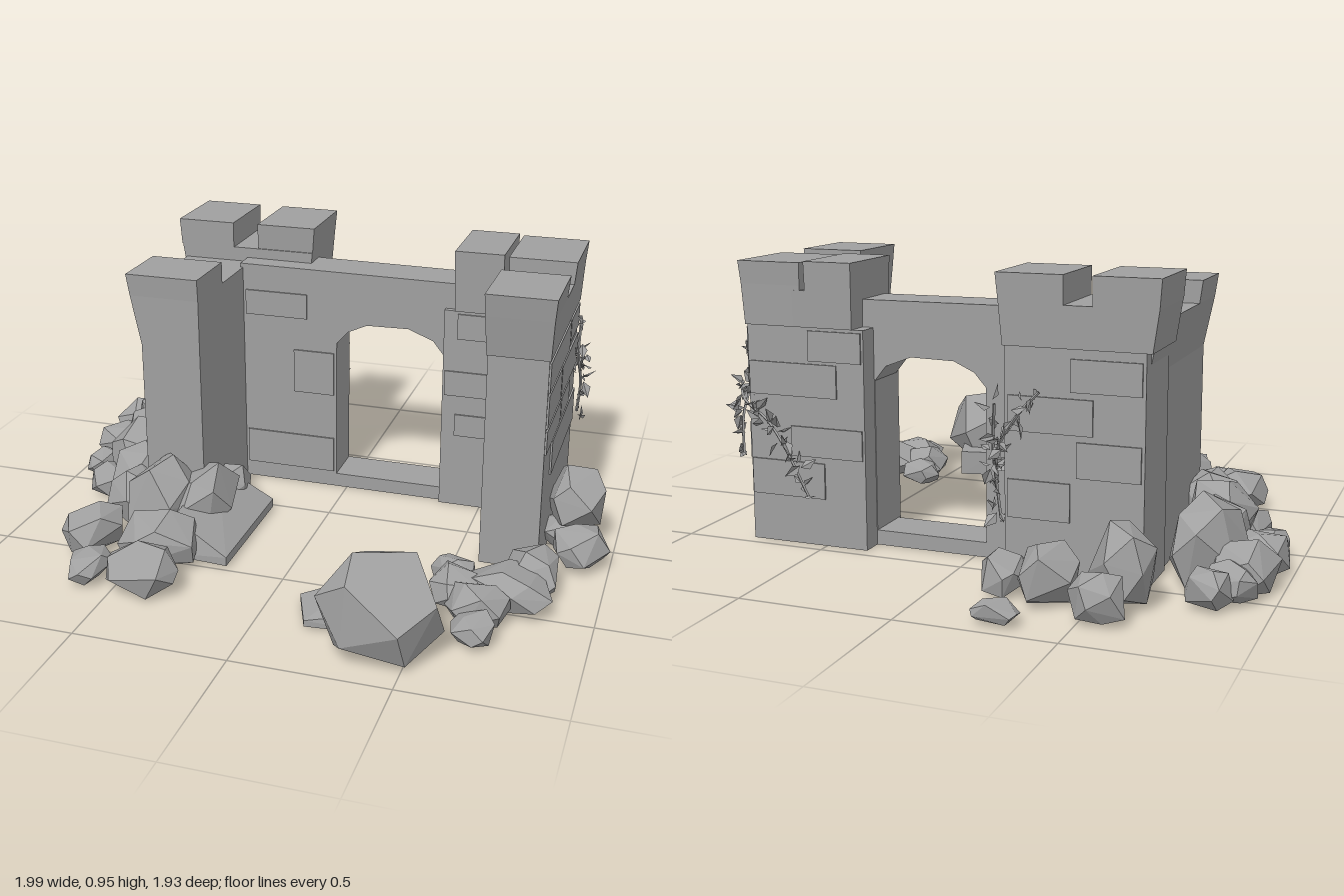
import * as THREE from 'three';
import { ConvexGeometry } from 'three/addons/geometries/ConvexGeometry.js';

export function createModel() {
  const root = new THREE.Group();
  root.name = 'ruinedGatehouse';
  const stone = new THREE.MeshStandardMaterial({ color: 0xa0a0a0, flatShading: true, side: THREE.DoubleSide });
  stone.name = 'grey stone';

  let seed = 17;
  const rnd = () => (seed = (seed * 16807) % 2147483647) / 2147483647;

  function group(name) {
    const g = new THREE.Group();
    g.name = name;
    root.add(g);
    return g;
  }
  function add(parent, name, geo) {
    const m = new THREE.Mesh(geo, stone);
    m.name = name;
    parent.add(m);
    return m;
  }
  // Block between two heights; bottom and top are [x0, x1, z0, z1]
  function block(parent, name, y0, y1, bottom, top = bottom) {
    const geo = new THREE.BoxGeometry(1, 1, 1);
    const p = geo.attributes.position;
    for (let i = 0; i < p.count; i++) {
      const up = p.getY(i) > 0, r = up ? top : bottom;
      p.setXYZ(i, p.getX(i) < 0 ? r[0] : r[1], up ? y1 : y0, p.getZ(i) < 0 ? r[2] : r[3]);
    }
    geo.computeVertexNormals();
    return add(parent, name, geo);
  }

  // Left tower: two wings meeting at the back corner, flared battlements
  const left = group('leftTower');
  block(left, 'sideWing', 0, 0.64, [-0.6, -0.39, -0.5, 0.2]);
  block(left, 'sideFlare', 0.64, 0.81, [-0.6, -0.39, -0.5, 0.2], [-0.635, -0.39, -0.5, 0.2]);
  block(left, 'backWing', 0, 0.73, [-0.61, -0.17, -0.55, -0.3]);
  block(left, 'backFlare', 0.73, 0.86, [-0.63, -0.165, -0.56, -0.295], [-0.65, -0.155, -0.567, -0.295]);
  block(left, 'frontMerlon', 0.81, 0.885, [-0.635, -0.39, -0.02, 0.2], [-0.645, -0.39, -0.02, 0.205]);
  block(left, 'cornerMerlon', 0.86, 0.95, [-0.65, -0.45, -0.567, -0.29], [-0.657, -0.45, -0.572, -0.29]);
  block(left, 'backMerlon', 0.86, 0.95, [-0.36, -0.155, -0.567, -0.3], [-0.36, -0.147, -0.572, -0.295]);

  // Right tower
  const right = group('rightTower');
  block(right, 'sideWing', 0, 0.73, [0.58, 0.775, -0.455, 0.195]);
  block(right, 'sideFlare', 0.73, 0.865, [0.577, 0.78, -0.46, 0.2], [0.572, 0.788, -0.465, 0.223]);
  block(right, 'backWing', 0, 0.73, [0.352, 0.6, -0.455, -0.2]);
  block(right, 'backFlare', 0.73, 0.85, [0.39, 0.6, -0.46, -0.195], [0.387, 0.6, -0.465, -0.19]);
  block(right, 'frontMerlon', 0.865, 0.94, [0.572, 0.788, -0.035, 0.223], [0.57, 0.795, -0.035, 0.235]);
  block(right, 'cornerMerlon', 0.865, 0.94, [0.572, 0.788, -0.465, -0.185], [0.568, 0.795, -0.47, -0.185]);
  block(right, 'backMerlon', 0.85, 0.945, [0.387, 0.553, -0.465, -0.19], [0.385, 0.553, -0.47, -0.185]);

  // Gate wall with a faceted arch and a low sill
  const wall = new THREE.Shape();
  wall.moveTo(-0.4, 0).lineTo(0.4, 0).lineTo(0.4, 0.82).lineTo(-0.4, 0.825);
  wall.closePath();
  const opening = [[-0.04, 0.05], [-0.04, 0.56], [0, 0.605], [0.07, 0.637], [0.22, 0.64], [0.31, 0.605], [0.35, 0.555], [0.35, 0.05]];
  wall.holes.push(new THREE.Path(opening.map(([x, y]) => new THREE.Vector2(x, y))));
  const wallGeo = new THREE.ExtrudeGeometry(wall, { depth: 0.16, bevelEnabled: false });
  wallGeo.translate(0, 0, -0.38);
  add(root, 'gateWall', wallGeo);

  // Worn facing stones standing slightly proud of the walls
  const facing = group('facingStones');
  const t = 0.006;
  [[0.19, -0.24, 0.62, 0.72], [0.19, -0.08, 0.5, 0.61], [-0.09, -0.45, 0.5, 0.61],
   [0.19, -0.1, 0.41, 0.49], [-0.11, -0.3, 0.41, 0.49], [0.05, -0.45, 0.28, 0.4], [-0.25, -0.45, 0.64, 0.72]]
    .forEach(([a, b, y0, y1]) => block(facing, 'sideStone', y0, y1, [0.775, 0.775 + t, b, a]));
  [[0.36, 0.55, 0.62, 0.72], [0.45, 0.77, 0.5, 0.61], [0.36, 0.62, 0.3, 0.4], [0.5, 0.77, 0.16, 0.28]]
    .forEach(([a, b, y0, y1]) => block(facing, 'rightBackStone', y0, y1, [a, b, -0.455 - t, -0.455]));
  [[-0.6, -0.38, 0.6, 0.7], [-0.45, -0.18, 0.47, 0.58], [-0.6, -0.4, 0.34, 0.45], [-0.38, -0.18, 0.2, 0.32]]
    .forEach(([a, b, y0, y1]) => block(facing, 'leftBackStone', y0, y1, [a, b, -0.55 - t, -0.55]));
  [[-0.38, -0.15, 0.64, 0.73], [-0.2, -0.05, 0.36, 0.52], [-0.38, -0.05, 0.06, 0.19]]
    .forEach(([a, b, y0, y1]) => block(facing, 'gateStone', y0, y1, [a, b, -0.22, -0.22 + t]));
  [[0.4, 0.57, 0.63, 0.72], [0.36, 0.52, 0.42, 0.51], [0.4, 0.57, 0.27, 0.35]]
    .forEach(([a, b, y0, y1]) => block(facing, 'rightInnerStone', y0, y1, [a, b, -0.2, -0.2 + t]));

  // Faceted rocks: x, z, half width, half depth, base height, top height
  function rock(parent, [x, z, rx, rz, y0, y1]) {
    const pts = [], n = 15, turn = rnd() * 6;
    for (let i = 0; i < n; i++) {
      const v = 1 - 2 * (i + 0.5) / n, a = turn + i * 2.4 + (rnd() - 0.5) * 0.7;
      const k = 1 + rnd() * 0.2, r = Math.sqrt(1 - v * v) * k;
      const y = y0 + (y1 - y0) * (0.42 + 0.6 * v);
      pts.push(new THREE.Vector3(
        x + rx * THREE.MathUtils.clamp(Math.cos(a) * r, -1, 1),
        THREE.MathUtils.clamp(y + (rnd() - 0.5) * 0.02, y0, y1),
        z + rz * THREE.MathUtils.clamp(Math.sin(a) * r, -1, 1)));
    }
    add(parent, 'rock', new ConvexGeometry(pts));
  }
  const leftRocks = [
    [-0.28, -0.92, 0.075, 0.055, 0.01, 0.07], [-0.55, -0.8, 0.09, 0.09, 0.01, 0.16],
    [-0.58, -0.67, 0.1, 0.1, 0.02, 0.27], [-0.37, -0.71, 0.095, 0.11, 0.01, 0.19],
    [-0.22, -0.68, 0.075, 0.08, 0.01, 0.14], [-0.82, -0.6, 0.07, 0.07, 0.01, 0.13],
    [-0.87, -0.53, 0.08, 0.07, 0.01, 0.13], [-0.88, -0.41, 0.12, 0.1, 0.01, 0.17],
    [-0.76, -0.38, 0.12, 0.14, 0.01, 0.28], [-0.9, -0.23, 0.09, 0.09, 0.01, 0.14],
    [-0.75, -0.2, 0.11, 0.1, 0.01, 0.24], [-0.9, -0.06, 0.06, 0.07, 0.01, 0.11],
    [-0.73, -0.04, 0.12, 0.13, 0.02, 0.26], [-0.81, 0.09, 0.06, 0.07, 0.01, 0.12]];
  const frontLeftRocks = [
    [-0.66, 0.12, 0.1, 0.11, 0.01, 0.23], [-0.62, 0.25, 0.1, 0.1, 0.01, 0.2],
    [-0.51, 0.28, 0.13, 0.12, 0.01, 0.28], [-0.38, 0.22, 0.11, 0.16, 0.01, 0.24],
    [-0.35, 0.06, 0.07, 0.1, 0.01, 0.17], [-0.68, 0.48, 0.1, 0.125, 0.01, 0.15],
    [-0.43, 0.5, 0.135, 0.13, 0.01, 0.17], [-0.6, 0.67, 0.075, 0.1, 0.01, 0.1],
    [-0.41, 0.69, 0.12, 0.115, 0.01, 0.15]];
  const rightRocks = [
    [0.86, -0.16, 0.075, 0.09, 0.01, 0.14], [0.86, -0.04, 0.1, 0.12, 0.08, 0.29],
    [0.84, -0.02, 0.09, 0.1, 0.01, 0.12], [0.9, 0.13, 0.1, 0.09, 0.01, 0.15],
    [0.78, 0.33, 0.09, 0.11, 0.01, 0.16], [0.73, 0.45, 0.14, 0.11, 0.01, 0.14],
    [0.53, 0.36, 0.075, 0.065, 0.01, 0.1], [0.57, 0.48, 0.09, 0.1, 0.01, 0.13],
    [0.65, 0.58, 0.1, 0.09, 0.01, 0.13], [0.66, 0.69, 0.07, 0.07, 0.01, 0.1],
    [0.4, 0.79, 0.2, 0.18, 0.01, 0.31]];
  const rubble = group('rubble');
  [...leftRocks, ...frontLeftRocks, ...rightRocks].forEach(r => rock(rubble, r));

  // Fallen slabs leaning into the rubble
  const prism = (name, pts) => add(rubble, name, new ConvexGeometry(pts.map(p => new THREE.Vector3(...p))));
  prism('leftSlab', [[-0.5, 0.01, 0.05], [-0.2, 0.01, 0.03], [-0.2, 0.01, 0.49], [-0.48, 0.01, 0.47],
    [-0.2, 0.04, 0.03], [-0.2, 0.04, 0.49], [-0.4, 0.16, 0.05], [-0.4, 0.14, 0.45]]);
  prism('rightSlab', [[0.1, 0.01, 0.62], [0.16, 0.01, 0.77], [0.5, 0.01, 0.74], [0.44, 0.01, 0.54],
    [0.1, 0.03, 0.62], [0.16, 0.03, 0.77], [0.3, 0.1, 0.57], [0.5, 0.1, 0.72], [0.44, 0.1, 0.54]]);

  // Vines: folded pointed leaves scattered along a stem
  function vine(name, points, count) {
    const g = group(name);
    const curve = new THREE.CatmullRomCurve3(points.map(p => new THREE.Vector3(...p)));
    add(g, 'stem', new THREE.TubeGeometry(curve, 16, 0.005, 4));
    const leaf = new THREE.BufferGeometry();
    leaf.setAttribute('position', new THREE.Float32BufferAttribute(
      [0, 0, 0, 0.018, 0.025, 0.008, 0, 0.06, 0, 0, 0, 0, 0, 0.06, 0, -0.018, 0.025, 0.008], 3));
    leaf.computeVertexNormals();
    for (let i = 0; i < count; i++) {
      const m = add(g, 'leaf', leaf);
      m.position.copy(curve.getPoint((i + 0.5) / count));
      m.position.x += (rnd() - 0.5) * 0.04;
      m.position.y += (rnd() - 0.5) * 0.05;
      m.rotation.set(rnd() * 6, rnd() * 6, rnd() * 6);
      m.scale.setScalar(0.6 + rnd() * 0.5);
    }
  }
  vine('rightBackVine', [[0.55, 0.17, -0.48], [0.62, 0.33, -0.5], [0.7, 0.42, -0.48], [0.78, 0.48, -0.48], [0.81, 0.52, -0.45]], 38);
  vine('rightSideVine', [[0.79, 0.67, -0.44], [0.79, 0.54, -0.42], [0.8, 0.42, -0.46], [0.79, 0.3, -0.48]], 18);
  vine('leftBackVine', [[-0.29, 0.6, -0.58], [-0.22, 0.52, -0.59], [-0.16, 0.42, -0.58], [-0.14, 0.32, -0.55]], 24);
  vine('leftInnerVine', [[-0.14, 0.55, -0.56], [-0.12, 0.4, -0.52], [-0.12, 0.28, -0.49], [-0.13, 0.17, -0.48]], 20);

  return root;
}
